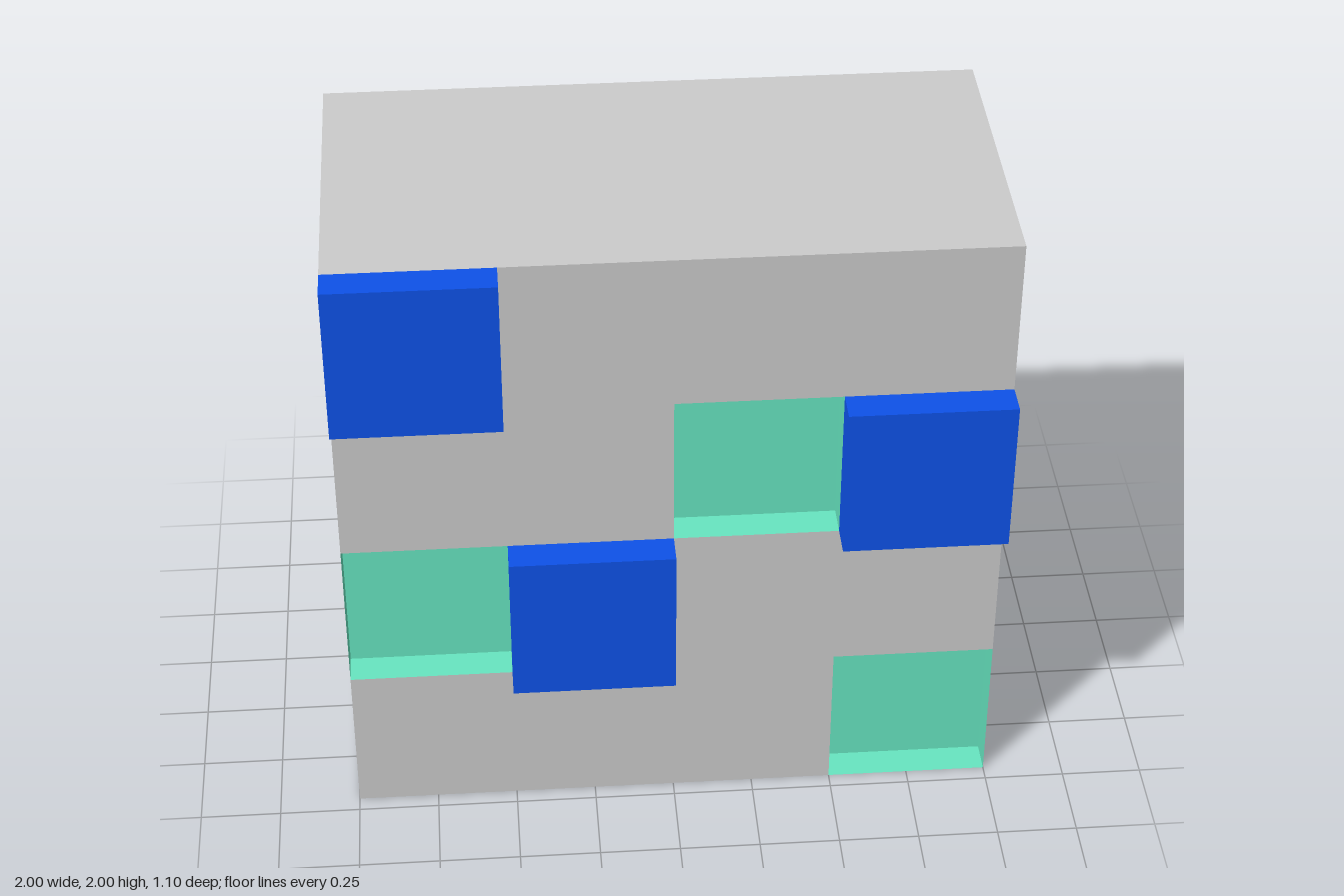
import * as THREE from 'three';
import { mergeGeometries } from 'three/addons/utils/BufferGeometryUtils.js';

const CELL = 0.5, RELIEF = 0.1, FRONT = 0.45, BACK = -0.55;

// Front layout, top row first: B = raised block, R = recess, . = flush
const LAYOUT = ['B...', '..RB', 'RB..', '...R'];

// Box without its +z side; inward turns the faces to look inside
function openBox(w, h, d, inward = false) {
  const box = new THREE.BoxGeometry(w, h, d);
  const index = Array.from(box.index.array);
  index.splice(24, 6);
  if (inward) index.reverse();
  box.setIndex(index);
  box.computeVertexNormals();
  return box;
}

export function createModel() {
  const group = new THREE.Group();
  const grey = new THREE.MeshStandardMaterial({ color: 0xcccccc });
  const blue = new THREE.MeshStandardMaterial({ color: 0x0e52e9 });
  const green = new THREE.MeshStandardMaterial({ color: 0x67e6c1 });

  const add = (name, geometry, material, x = 0, y = 0, z = 0) => {
    const mesh = new THREE.Mesh(geometry, material);
    mesh.name = name;
    mesh.position.set(x, y, z);
    group.add(mesh);
  };

  // Body shell: sides, top, bottom and back, closed by the front tiles
  const depth = FRONT - BACK;
  const bodyParts = [openBox(2, 2, depth).translate(0, 1, (FRONT + BACK) / 2)];

  LAYOUT.forEach((row, r) => [...row].forEach((kind, c) => {
    const x = -1 + (c + 0.5) * CELL;
    const y = 2 - (r + 0.5) * CELL;
    if (kind === 'R') {
      // Recess lining: back wall and four inner sides
      add('recess', openBox(CELL, CELL, RELIEF, true), green, x, y, FRONT - RELIEF / 2);
      return;
    }
    bodyParts.push(new THREE.PlaneGeometry(CELL, CELL).translate(x, y, FRONT));
    if (kind === 'B') {
      add('raisedBlock', new THREE.BoxGeometry(CELL, CELL, RELIEF), blue, x, y, FRONT + RELIEF / 2);
    }
  }));

  add('body', mergeGeometries(bodyParts), grey);
  return group;
}
